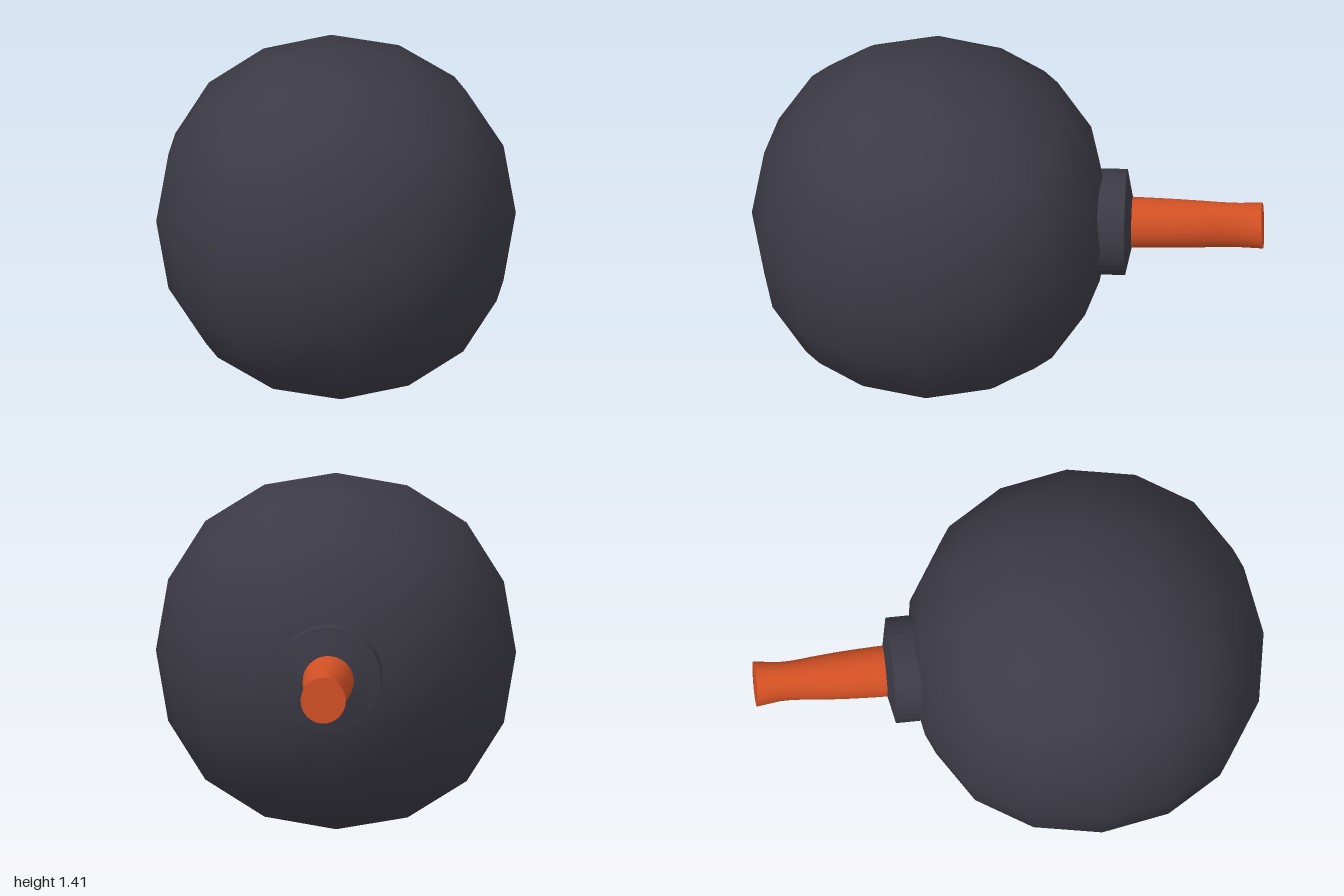
import * as THREE from 'three';
import { mergeVertices, toCreasedNormals } from 'three/addons/utils/BufferGeometryUtils.js';

const CENTER_Y = 0.706;

function makeMaterial(name, color) {
  const m = new THREE.MeshStandardMaterial({ color });
  m.name = name;
  return m;
}

// Rounded cube: each grid point (integers -2..2) moves to a subdivision surface.
// Key = grid coordinates sorted high to low; value = new distance for 2 and for 1.
const ROUND = {
  '200': [0.703, 0], '210': [0.655, 0.279], '211': [0.61, 0.265],
  '220': [0.51, 0], '221': [0.48, 0.248], '222': [0.419, 0],
};

function ballGeometry() {
  let g = new THREE.BoxGeometry(4, 4, 4, 4, 4, 4);
  g.deleteAttribute('uv');
  g.deleteAttribute('normal');
  const p = g.attributes.position;
  for (let i = 0; i < p.count; i++) {
    const c = [p.getX(i), p.getY(i), p.getZ(i)].map(Math.round);
    const key = c.map(Math.abs).sort((a, b) => b - a).join('');
    const [two, one] = ROUND[key];
    const r = c.map((v) => Math.sign(v) * (Math.abs(v) === 2 ? two : one));
    p.setXYZ(i, ...r);
  }
  g = mergeVertices(g);
  g.computeVertexNormals();
  return g;
}

// Collar: short cylinder with a shallow conical lid, axis turned towards -z
function collarGeometry() {
  const profile = [[0.207, 0.3], [0.207, 0.463], [0.1, 0.486], [0, 0.486]];
  const g = new THREE.LatheGeometry(profile.map(([r, y]) => new THREE.Vector2(r, y)), 32);
  g.rotateX(-Math.PI / 2);
  return toCreasedNormals(g, 0.15);
}

// Fuse: round rod, pinched sideways near its tip, with a slightly slanted end
function fuseGeometry() {
  const start = 0.44, end = 0.996;
  const g = new THREE.CylinderGeometry(1, 1, end - start, 32, 12);
  g.translate(0, (start + end) / 2, 0);
  g.rotateX(-Math.PI / 2);
  const widths = new THREE.SplineCurve([
    [0.44, 0.101], [0.55, 0.098], [0.66, 0.092], [0.77, 0.082],
    [0.87, 0.073], [0.93, 0.078], [1.0, 0.089],
  ].map(([d, w]) => new THREE.Vector2(d, w))).getPoints(60);
  const widthAt = (d) => widths.reduce((a, b) => (Math.abs(b.x - d) < Math.abs(a.x - d) ? b : a)).y;
  const p = g.attributes.position;
  for (let i = 0; i < p.count; i++) {
    const d = -p.getZ(i);
    const t = (d - start) / (end - start);
    const y = p.getY(i) * (0.1 - 0.01 * t);
    p.setXYZ(i, p.getX(i) * widthAt(d), y, -d + 0.04 * y * t);
  }
  return toCreasedNormals(g, 0.7);
}

export function createModel() {
  const group = new THREE.Group();
  group.name = 'roundBomb';
  const iron = makeMaterial('darkIron', 0x3b3a45);
  const orange = makeMaterial('orangeFuse', 0xd25024);

  const add = (name, geometry, material, z = 0) => {
    const mesh = new THREE.Mesh(geometry, material);
    mesh.name = name;
    mesh.position.set(0, CENTER_Y, z);
    group.add(mesh);
  };
  add('ball', ballGeometry(), iron, 0.296);
  add('collar', collarGeometry(), iron);
  add('fuse', fuseGeometry(), orange);
  return group;
}
